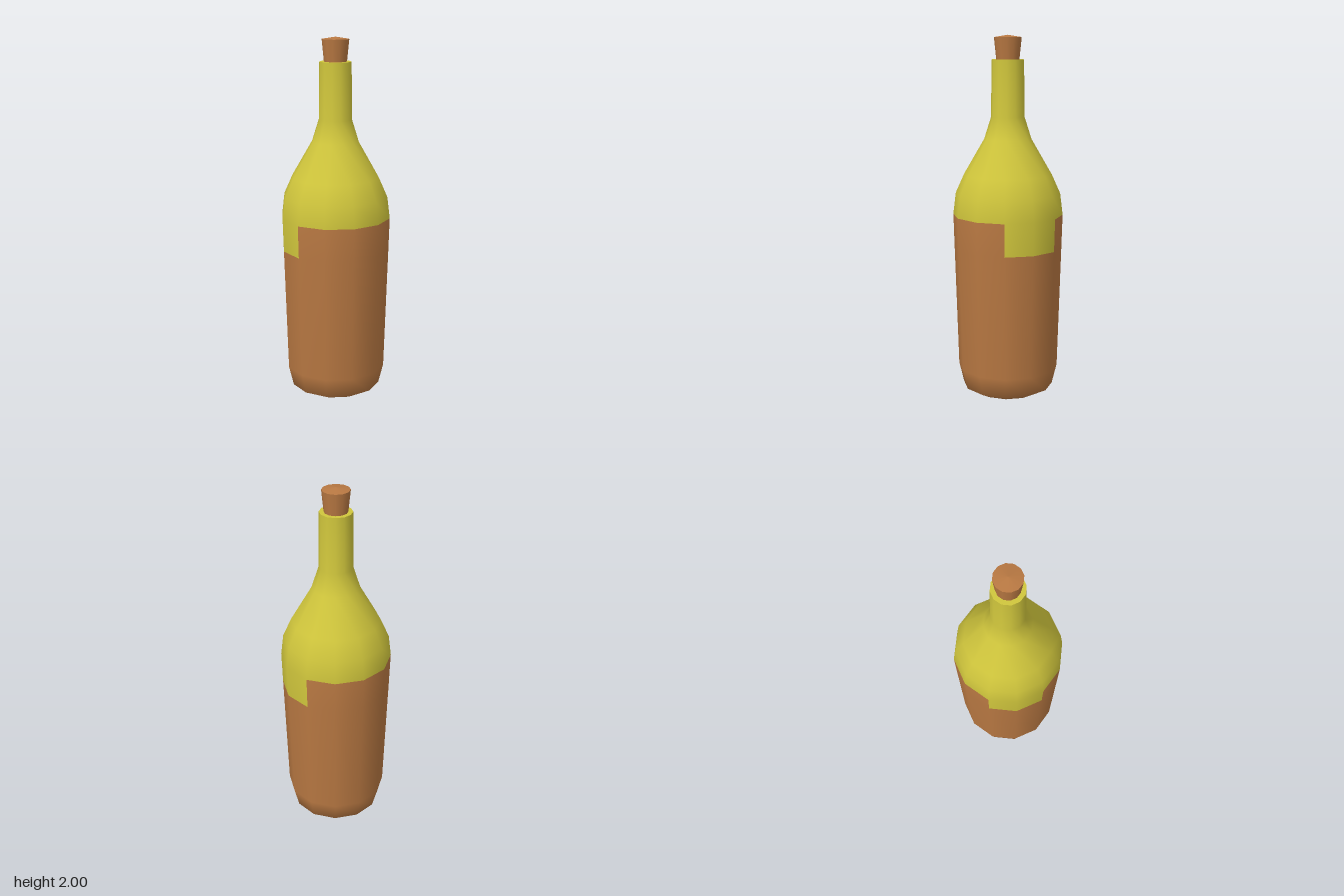
import * as THREE from 'three';

const SIDES = 12;

const glass = new THREE.MeshStandardMaterial({ color: 0xd0c63c });
glass.name = 'yellow glass';
const brown = new THREE.MeshStandardMaterial({ color: 0xb87842 });
brown.name = 'brown leather and cork';

// Turned surface from [radius, height] pairs
function turned(points) {
  return new THREE.LatheGeometry(points.map(([r, y]) => new THREE.Vector2(r, y)), SIDES);
}

function addPart(parent, name, geometry, material) {
  const mesh = new THREE.Mesh(geometry, material);
  mesh.name = name;
  parent.add(mesh);
}

// Keep only the quads of a lathe for which test(side, row) holds, sharing its smooth normals
function pickQuads(geometry, rows, test) {
  const all = geometry.index.array;
  const kept = [];
  for (let side = 0; side < SIDES; side++) {
    for (let row = 0; row < rows; row++) {
      if (!test(side, row)) continue;
      // pole rows may drop a triangle, so read the lathe grid directly
      const a = row + side * (rows + 1), b = a + rows + 1;
      kept.push(a, b, a + 1, b + 1, a + 1, b);
    }
  }
  const part = geometry.clone();
  part.setIndex(all.length ? kept : []);
  return part;
}

export function createModel() {
  const bottle = new THREE.Group();
  bottle.name = 'bottle';

  // Body profile from the base centre to the mouth
  const profile = [
    [0, 0.005], [0.185, 0.003], [0.253, 0.038], [0.28, 0.15], [0.3, 0.84], [0.305, 1.02],
    [0.29, 1.14], [0.243, 1.245], [0.13, 1.44], [0.092, 1.56], [0.088, 1.87],
  ];
  const body = turned(profile);
  const rows = profile.length - 1;

  // Sleeve covers the lower rows, with a two-panel notch on each flank (+x and -x)
  const notchRow = 4;
  const isFlank = (side) => [2, 3, 8, 9].includes(side);
  const isSleeve = (side, row) => row < notchRow || (row === notchRow && !isFlank(side));
  addPart(bottle, 'sleeve', pickQuads(body, rows, isSleeve), brown);
  addPart(bottle, 'glassBody', pickQuads(body, rows, (s, r) => !isSleeve(s, r)), glass);

  // Flat rim around the mouth
  addPart(bottle, 'rim', turned([[0.088, 1.87], [0.05, 1.87]]), glass);

  // Tapered cork with a slightly domed top
  const cork = new THREE.Group();
  cork.name = 'cork';
  addPart(cork, 'corkSide', turned([[0.062, 1.86], [0.075, 1.988]]), brown);
  addPart(cork, 'corkTop', turned([[0.075, 1.988], [0, 2]]), brown);
  bottle.add(cork);

  return bottle;
}
